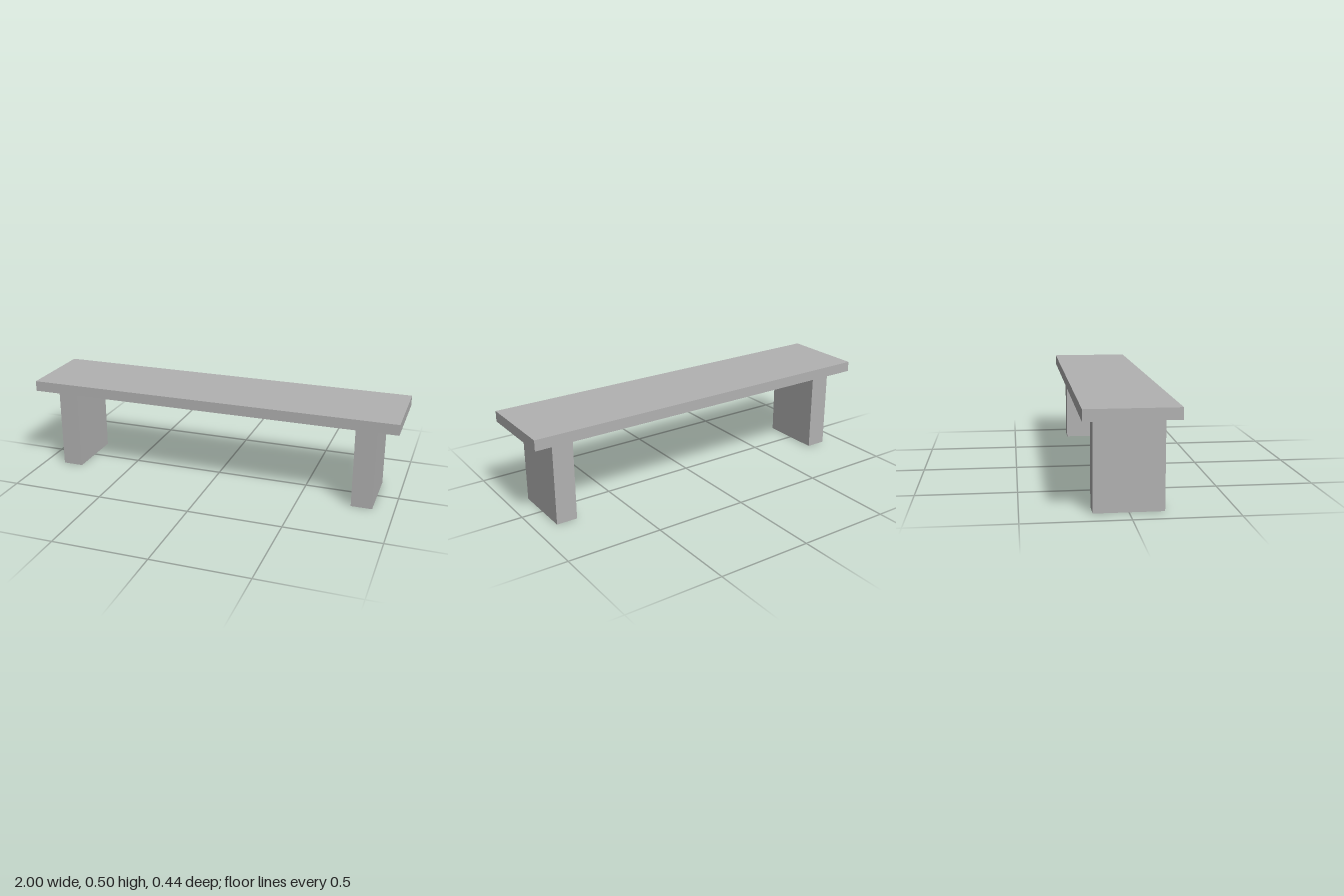
import * as THREE from 'three';

export function createModel() {
  const bench = new THREE.Group();
  bench.name = 'bench';
  const stone = new THREE.MeshStandardMaterial({ color: 0xb2b2b2 });
  stone.name = 'grey stone';

  const legHeight = 0.445;
  const seatThickness = 0.056;

  function addBlock(name, width, height, depth, x, bottom) {
    const mesh = new THREE.Mesh(new THREE.BoxGeometry(width, height, depth), stone);
    mesh.name = name;
    mesh.position.set(x, bottom + height / 2, 0);
    bench.add(mesh);
  }

  // Seat slab
  addBlock('seat', 2, seatThickness, 0.444, 0, legHeight);

  // Slab legs, mirrored left and right
  for (const side of [1, -1]) {
    addBlock(side > 0 ? 'leftLeg' : 'rightLeg', 0.111, legHeight, 0.333, side * 0.833, 0);
  }

  return bench;
}
